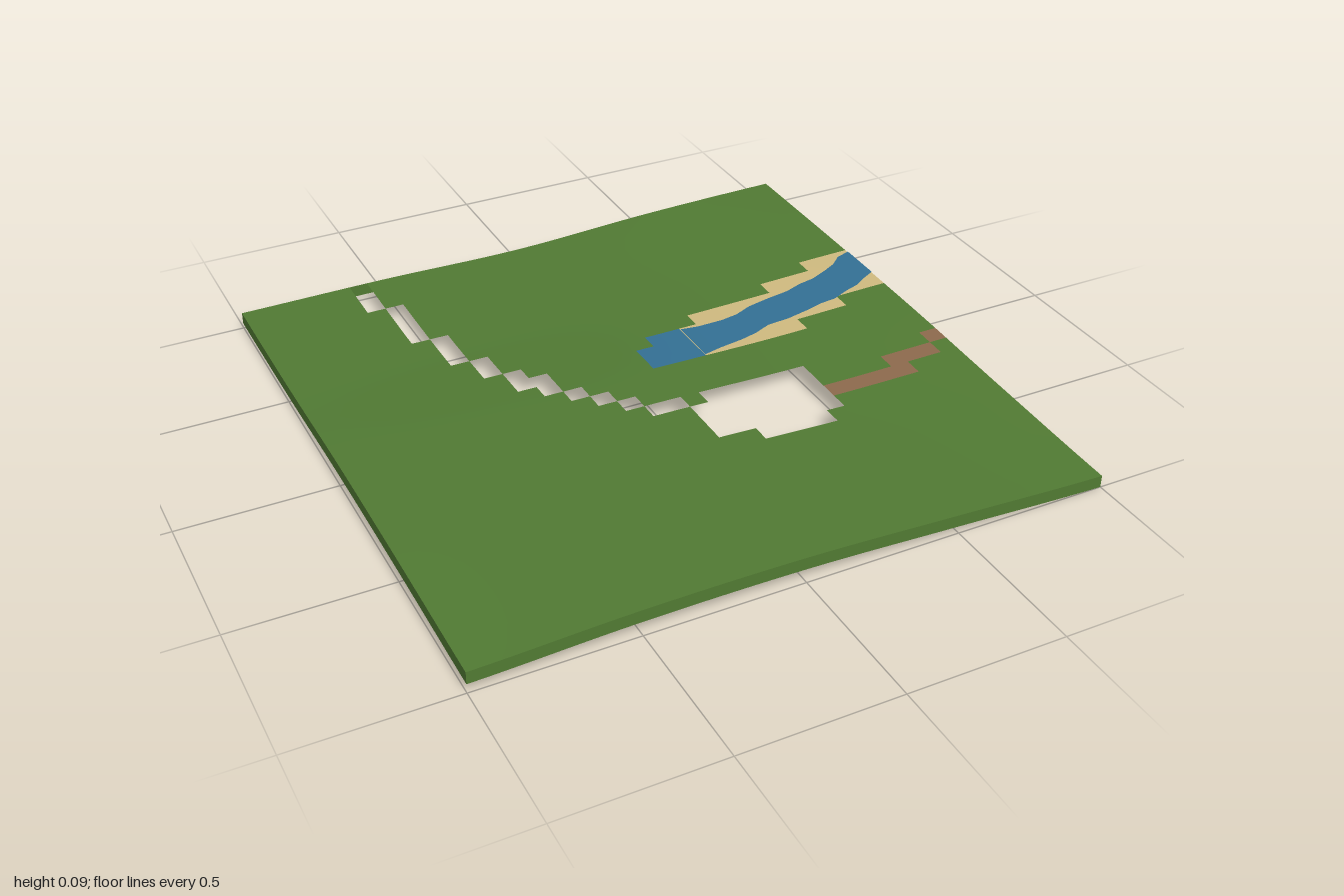
import * as THREE from 'three';

const CELLS = 32;
const SKIRT = 0.04;

// Rolling ground heights: rows run from back (z = -1) to front (z = 1), columns from x = -1 to 1
const HEIGHTS = [
  [0.057, 0.060, 0.055, 0.078, 0.088],
  [0.061, 0.060, 0.058, 0.073, 0.085],
  [0.076, 0.080, 0.075, 0.067, 0.076],
  [0.077, 0.081, 0.081, 0.062, 0.056],
  [0.070, 0.088, 0.087, 0.064, 0.040],
];

// Cell blocks [column from, column to, row from, row to]; later surfaces win
const BLOCKS = {
  dirtTrack: [[24, 29, 20, 21], [28, 31, 19, 20], [31, 32, 18, 19]],
  sandBank: [[20, 26, 12, 15], [21, 26, 11, 12], [26, 29, 10, 14], [29, 32, 9, 13]],
  riverHead: [[17, 18, 13, 15], [18, 20, 12, 15]],
  // Road and square are cut right through the ground
  opening: [
    [6, 7, 0, 3], [7, 8, 3, 7], [8, 9, 7, 10], [9, 10, 10, 12], [10, 11, 12, 14],
    [11, 12, 13, 15], [12, 13, 15, 16], [13, 14, 16, 17], [14, 15, 17, 18], [15, 17, 18, 19],
    [17, 18, 19, 22], [18, 24, 18, 22], [19, 23, 22, 23],
  ],
};

// River sections [x, back bank z, front bank z]
const RIVER = [
  [0.25, -0.24, -0.065], [0.31, -0.23, -0.08], [0.40, -0.23, -0.095], [0.46, -0.24, -0.11],
  [0.52, -0.265, -0.135], [0.60, -0.28, -0.14], [0.68, -0.29, -0.155], [0.74, -0.31, -0.17],
  [0.80, -0.32, -0.175], [0.86, -0.345, -0.20], [0.91, -0.37, -0.215], [0.95, -0.405, -0.24],
  [1.00, -0.42, -0.265],
];

function cubic(p, t) {
  const u = (t + 1) * 2;
  const i = Math.min(3, Math.max(0, Math.floor(u)));
  const f = u - i;
  const at = (k) => p[Math.min(4, Math.max(0, k))];
  const [a, b, c, d] = [at(i - 1), at(i), at(i + 1), at(i + 2)];
  return b + 0.5 * f * (c - a + f * (2 * a - 5 * b + 4 * c - d + f * (3 * (b - c) + d - a)));
}

function groundHeight(x, z) {
  return cubic(HEIGHTS.map((row) => cubic(row, x)), z);
}

function makeMaterial(name, color) {
  const material = new THREE.MeshStandardMaterial({ color, side: THREE.DoubleSide });
  material.name = name;
  return material;
}

// Strip of quads between neighbouring rows of points
function makeStrip(rows) {
  const n = rows[0].length;
  const index = [];
  for (let i = 1; i < rows.length; i++) {
    for (let j = 1; j < n; j++) {
      const d = i * n + j;
      const b = d - n;
      index.push(b - 1, b, d, b - 1, d, d - 1);
    }
  }
  const strip = new THREE.BufferGeometry();
  strip.setAttribute('position', new THREE.Float32BufferAttribute(rows.flat(2), 3));
  strip.setIndex(index);
  strip.computeVertexNormals();
  return strip;
}

function inRiver(x, z) {
  const k = RIVER.findIndex((s, i) => i > 0 && x <= s[0]);
  if (k < 1 || x < RIVER[0][0]) return false;
  const [a, b] = [RIVER[k - 1], RIVER[k]];
  const t = (x - a[0]) / (b[0] - a[0]);
  return z >= a[1] + t * (b[1] - a[1]) && z <= a[2] + t * (b[2] - a[2]);
}

export function createModel() {
  const group = new THREE.Group();
  group.name = 'landscapeTile';
  const grass = makeMaterial('grass green', 0x517a33);
  const sand = makeMaterial('sand', 0xceb97f);
  const water = makeMaterial('water blue', 0x337094);
  const dirt = makeMaterial('dirt brown', 0x8c694c);

  const add = (name, geometry, material) => {
    const mesh = new THREE.Mesh(geometry, material);
    mesh.name = name;
    group.add(mesh);
    return mesh;
  };

  // Whole ground sheet, giving shared smooth normals to every surface
  const sheet = new THREE.PlaneGeometry(2, 2, CELLS, CELLS).rotateX(-Math.PI / 2);
  const pos = sheet.attributes.position;
  for (let i = 0; i < pos.count; i++) pos.setY(i, groundHeight(pos.getX(i), pos.getZ(i)));
  sheet.computeVertexNormals();

  // Which surface each cell belongs to
  const cellSurface = new Array(CELLS * CELLS).fill('grassField');
  for (const [name, blocks] of Object.entries(BLOCKS)) {
    for (const [c0, c1, r0, r1] of blocks) {
      for (let r = r0; r < r1; r++) for (let c = c0; c < c1; c++) cellSurface[r * CELLS + c] = name;
    }
  }

  // Cut a set of cells out of the ground sheet as one mesh
  const addCells = (name, material, test) => {
    const index = [];
    cellSurface.forEach((surface, i) => {
      if (test(surface, i)) for (let k = 0; k < 6; k++) index.push(sheet.index.getX(i * 6 + k));
    });
    const part = new THREE.BufferGeometry();
    part.setAttribute('position', sheet.attributes.position);
    part.setAttribute('normal', sheet.attributes.normal);
    part.setIndex(index);
    return add(name, part, material);
  };
  const surfaces = { grassField: grass, dirtTrack: dirt, sandBank: sand, riverHead: water };
  for (const [name, material] of Object.entries(surfaces)) {
    addCells(name, material, (surface) => surface === name);
  }

  // Water lying under the banks, beside the river bed
  const underBanks = addCells('waterUnderBanks', water, (surface, i) => {
    const x = (i % CELLS) / 16 - 1;
    const z = Math.floor(i / CELLS) / 16 - 1;
    const corners = [[0, 0], [1, 0], [0, 1], [1, 1]];
    return surface === 'sandBank' && !corners.every(([u, v]) => inRiver(x + u / 16, z + v / 16));
  });
  underBanks.position.y = -0.004;

  // River surface, a ribbon lying just over its bed
  const ribbon = RIVER.map(([x, back, front]) => [0, 1, 2, 3, 4].map((j) => {
    const z = back + ((front - back) * j) / 4;
    return [x, groundHeight(x, z) + 0.003, z];
  }));
  add('riverSurface', makeStrip(ribbon), water);

  // Skirt walls hanging from the four edges of the ground
  const edges = {
    frontSkirt: (t) => [t, 1],
    rightSkirt: (t) => [-1, t],
    backSkirt: (t) => [-t, -1],
    leftSkirt: (t) => [1, -t],
  };
  for (const [name, edge] of Object.entries(edges)) {
    const rows = [];
    for (let i = 0; i <= CELLS; i++) {
      const [x, z] = edge((i / CELLS) * 2 - 1);
      const y = groundHeight(x, z);
      rows.push([[x, y, z], [x, y - SKIRT, z]]);
    }
    add(name, makeStrip(rows), grass);
  }

  return group;
}
